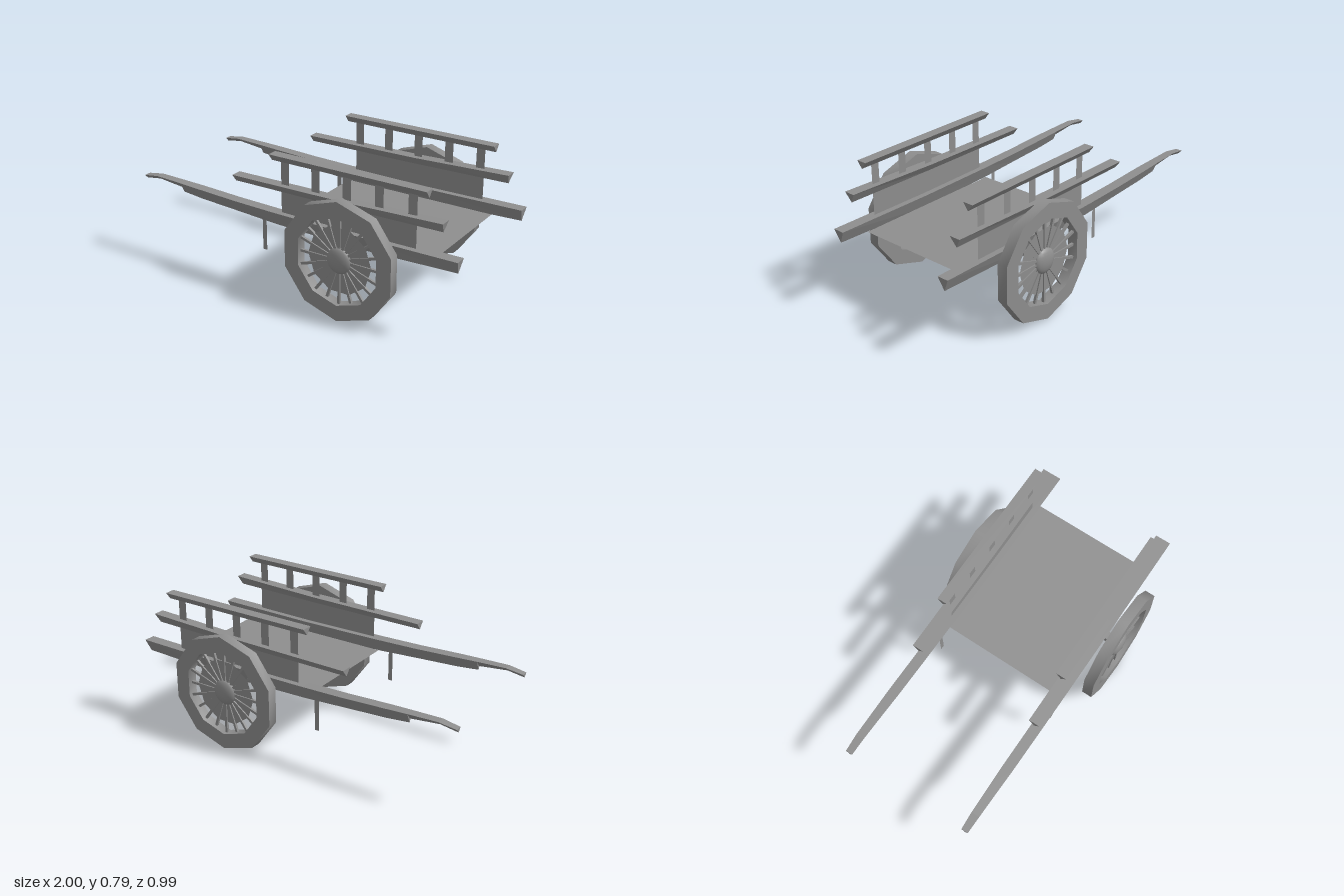
import * as THREE from 'three';
import { toCreasedNormals } from 'three/addons/utils/BufferGeometryUtils.js';

const wood = new THREE.MeshStandardMaterial({ color: 0x8e8e8e, side: THREE.DoubleSide });
wood.name = 'plain wood grey';

const SIDE_Z = 0.372;
const WHEEL = { x: 0.368, y: 0.34, z: 0.467 };

function add(parent, name, geometry, x = 0, y = 0, z = 0) {
  const mesh = new THREE.Mesh(geometry, wood);
  mesh.name = name;
  mesh.position.set(x, y, z);
  parent.add(mesh);
  return mesh;
}

// Beam with a downward-pointing triangular section.
// Each station: [x at top, x at bottom, top y, bottom y, half width]
function wedgeBeam(stations) {
  const pos = [];
  const rings = stations.map(([xt, xb, top, bottom, w]) => [[xt, top, -w], [xt, top, w], [xb, bottom, 0]]);
  const tri = (a, b, c) => pos.push(...a, ...b, ...c);
  for (let i = 0; i < rings.length - 1; i++) {
    for (let k = 0; k < 3; k++) {
      const a = rings[i][k], b = rings[i][(k + 1) % 3];
      const c = rings[i + 1][(k + 1) % 3], d = rings[i + 1][k];
      tri(a, b, c);
      tri(a, c, d);
    }
  }
  const last = rings[rings.length - 1];
  tri(rings[0][0], rings[0][2], rings[0][1]);
  tri(last[0], last[1], last[2]);
  const g = new THREE.BufferGeometry();
  g.setAttribute('position', new THREE.Float32BufferAttribute(pos, 3));
  g.computeVertexNormals();
  return g;
}

function decagon(radius) {
  return Array.from({ length: 10 }, (_, i) => {
    const a = Math.PI / 2 + (i * Math.PI) / 5;
    return new THREE.Vector2(Math.cos(a) * radius, Math.sin(a) * radius);
  });
}

function makeWheel() {
  const wheel = new THREE.Group();
  wheel.name = 'wheel';

  // Ten-sided rim
  const shape = new THREE.Shape(decagon(0.335));
  shape.holes.push(new THREE.Path(decagon(0.246)));
  const rim = new THREE.ExtrudeGeometry(shape, { depth: 0.06, bevelEnabled: false });
  rim.translate(0, 0, -0.03);
  add(wheel, 'rim', toCreasedNormals(rim, 0.7));

  // Inner plate, spokes and domed hub
  add(wheel, 'wheelPlate', new THREE.CircleGeometry(0.19, 10));
  for (let i = 0; i < 20; i++) {
    const g = new THREE.BoxGeometry(0.014, 0.2, 0.014);
    g.translate(0, 0.145, 0);
    add(wheel, 'spoke', g).rotation.z = (i * Math.PI) / 10;
  }
  add(wheel, 'hub', new THREE.SphereGeometry(0.073, 16, 12)).scale.z = 0.4;
  return wheel;
}

function makeSide() {
  const side = new THREE.Group();
  side.name = 'side';

  // Long shaft with a raised handle at its end
  add(side, 'shaft', wedgeBeam([
    [-1, -1, 0.485, 0.463, 0.02],
    [-0.9, -0.9, 0.5, 0.478, 0.024],
    [-0.73, -0.73, 0.495, 0.46, 0.027],
    [-0.729, -0.729, 0.495, 0.437, 0.027],
    [-0.6, -0.6, 0.49, 0.424, 0.03],
    [-0.35, -0.35, 0.479, 0.41, 0.031],
    [-0.1, -0.1, 0.473, 0.395, 0.032],
    [0.4, 0.4, 0.468, 0.382, 0.033],
    [1, 0.99, 0.473, 0.4, 0.033],
  ]));

  // Middle and top rails
  add(side, 'middleRail', wedgeBeam([
    [-0.355, -0.355, 0.63, 0.588, 0.032],
    [0.35, 0.35, 0.636, 0.59, 0.032],
    [0.912, 0.9, 0.653, 0.597, 0.032],
  ]));
  add(side, 'topRail', wedgeBeam([
    [-0.112, -0.112, 0.797, 0.757, 0.03],
    [0.818, 0.818, 0.797, 0.757, 0.03],
  ]));

  // Thin uprights, side board and prop leg
  for (let i = 0; i < 5; i++) {
    add(side, 'upright', new THREE.PlaneGeometry(0.05, 0.16), -0.03 + i * 0.19, 0.69, 0);
  }
  add(side, 'sideBoard', new THREE.PlaneGeometry(0.81, 0.21), 0.35, 0.505, 0);
  add(side, 'propLeg', new THREE.PlaneGeometry(0.026, 0.205), -0.17, 0.327, 0);
  return side;
}

export function createModel() {
  const cart = new THREE.Group();
  cart.name = 'handcart';

  // Flat bed and axle
  const bed = new THREE.PlaneGeometry(0.915, 0.72);
  bed.rotateX(-Math.PI / 2);
  add(cart, 'bed', bed, 0.362, 0.4, 0);
  add(cart, 'axle', new THREE.BoxGeometry(0.046, 0.037, 0.92), WHEEL.x, 0.349, 0);

  for (const s of [1, -1]) {
    const side = makeSide();
    side.position.z = s * SIDE_Z;
    const wheel = makeWheel();
    wheel.position.set(WHEEL.x, WHEEL.y, s * WHEEL.z);
    cart.add(side, wheel);
  }
  return cart;
}
